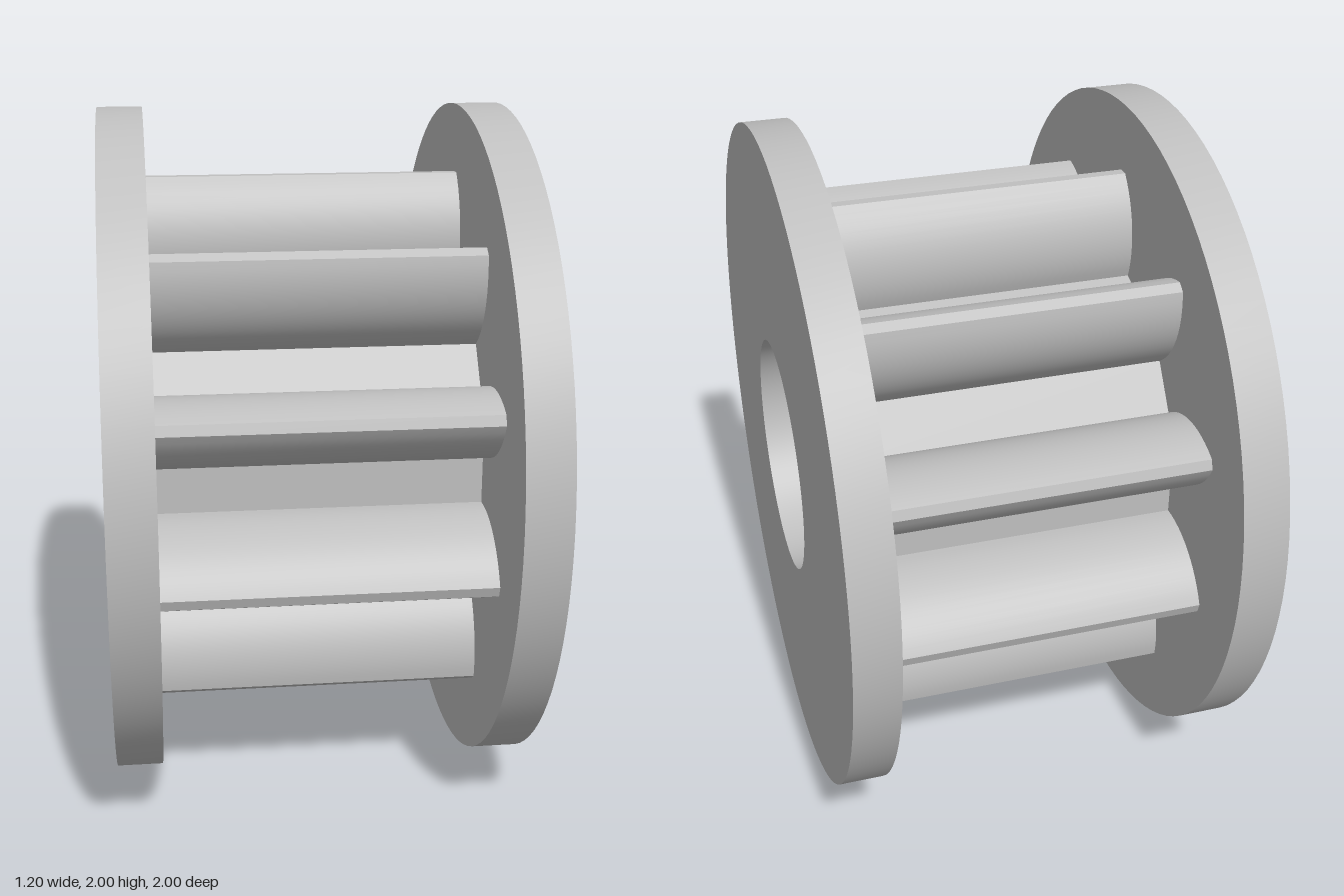
import * as THREE from 'three';
import { toCreasedNormals } from 'three/addons/utils/BufferGeometryUtils.js';

const TEETH = 10;
const HALF_CORE = 0.4675;  // half length of the toothed drum
const HALF_WIDTH = 0.6;    // half length over the flanges
const BORE = 0.353;
const PITCH = (Math.PI * 2) / TEETH;

// Extrudes a shape along x between x0 and x1, with the bore cut through it
function extrudeAlongX(shape, x0, x1) {
  const bore = new THREE.Path();
  bore.absarc(0, 0, BORE, 0, Math.PI * 2, true);
  shape.holes.push(bore);
  const geo = new THREE.ExtrudeGeometry(shape, { depth: x1 - x0, bevelEnabled: false, curveSegments: 48 });
  geo.translate(0, 0, x0);
  geo.rotateY(Math.PI / 2);
  return toCreasedNormals(geo, 0.35);
}

// Ring of teeth with bulged flanks, narrow tips and flat groove floors
function toothedShape() {
  const centre = 0.6, drop = 0.18, radius = 0.28; // flank arc in tooth space
  const rootR = 0.499, rootH = 0.083, tipR = 0.8, tipH = 0.015;
  const a0 = Math.atan2(rootH + drop, rootR - centre);
  const a1 = Math.atan2(tipH + drop, tipR - centre);
  const flank = [];
  const steps = 12;
  for (let i = 0; i <= steps; i++) {
    const a = a0 + ((a1 - a0) * i) / steps;
    flank.push([centre + radius * Math.cos(a), radius * Math.sin(a) - drop]);
  }
  // One tooth: up the right flank, then down the mirrored left flank
  const tooth = [...flank.map(([r, h]) => [r, -h]), ...flank.slice().reverse()];
  const points = [];
  for (let t = 0; t < TEETH; t++) {
    const a = Math.PI / 2 + t * PITCH;
    const c = Math.cos(a), s = Math.sin(a);
    for (const [r, h] of tooth) points.push(new THREE.Vector2(r * c - h * s, r * s + h * c));
  }
  return new THREE.Shape(points);
}

function flangeShape() {
  const shape = new THREE.Shape();
  shape.absarc(0, 0, 1, 0, Math.PI * 2, false);
  return shape;
}

export function createModel() {
  const group = new THREE.Group();
  group.name = 'timingPulley';
  const metal = new THREE.MeshStandardMaterial({ color: 0xbfbfbf });
  metal.name = 'light grey metal';

  const add = (name, geometry) => {
    const mesh = new THREE.Mesh(geometry, metal);
    mesh.name = name;
    mesh.position.y = 1;
    group.add(mesh);
  };

  add('toothedDrum', extrudeAlongX(toothedShape(), -HALF_CORE, HALF_CORE));
  add('leftFlange', extrudeAlongX(flangeShape(), HALF_CORE, HALF_WIDTH));
  add('rightFlange', extrudeAlongX(flangeShape(), -HALF_WIDTH, -HALF_CORE));
  return group;
}
